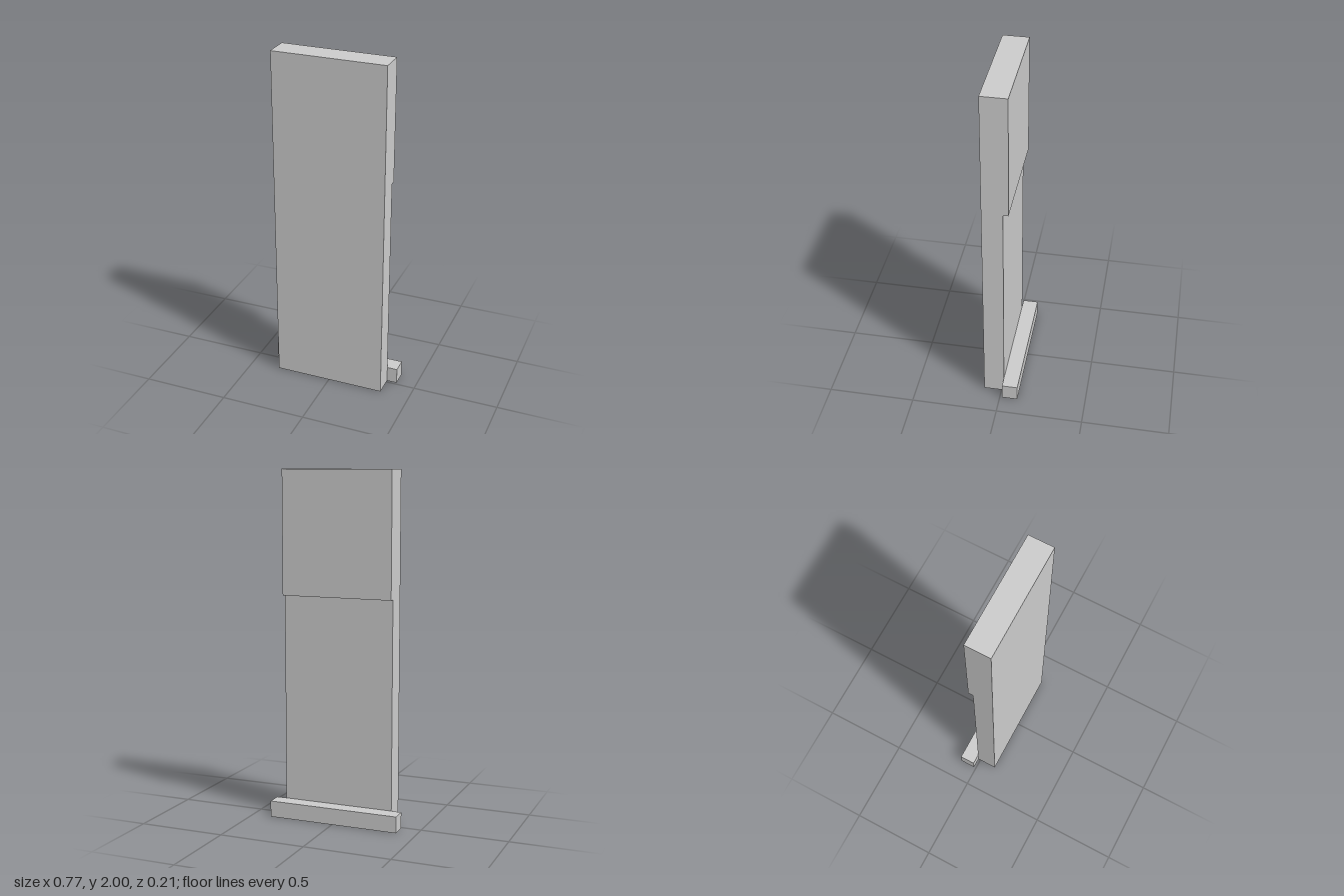
import * as THREE from 'three';

const WIDTH = 0.652, FRONT = 0.104, BACK = -0.014, UPPER_BACK = -0.043;
const HEIGHT = 2, STEP_Y = 1.292;
const SILL = { width: 0.772, height: 0.094, depth: 0.09 };

export function createModel() {
  const group = new THREE.Group();
  const material = new THREE.MeshStandardMaterial({ color: 0xcccccc, flatShading: true });

  // Upright panel: side profile (z, y) with a thicker upper section, swept across x
  const profile = new THREE.Shape([
    [FRONT, 0], [FRONT, HEIGHT], [UPPER_BACK, HEIGHT],
    [UPPER_BACK, STEP_Y], [BACK, STEP_Y], [BACK, 0],
  ].map(([z, y]) => new THREE.Vector2(z, y)));
  const panelGeometry = new THREE.ExtrudeGeometry(profile, { depth: WIDTH, bevelEnabled: false });
  panelGeometry.translate(0, 0, -WIDTH / 2).rotateY(-Math.PI / 2);
  const panel = new THREE.Mesh(panelGeometry, material);
  panel.name = 'panel';
  group.add(panel);

  // Wider sill bar along the foot of the back
  const sill = new THREE.Mesh(new THREE.BoxGeometry(SILL.width, SILL.height, SILL.depth), material);
  sill.name = 'sill';
  sill.position.set(0, SILL.height / 2, BACK - SILL.depth / 2);
  group.add(sill);

  return group;
}
